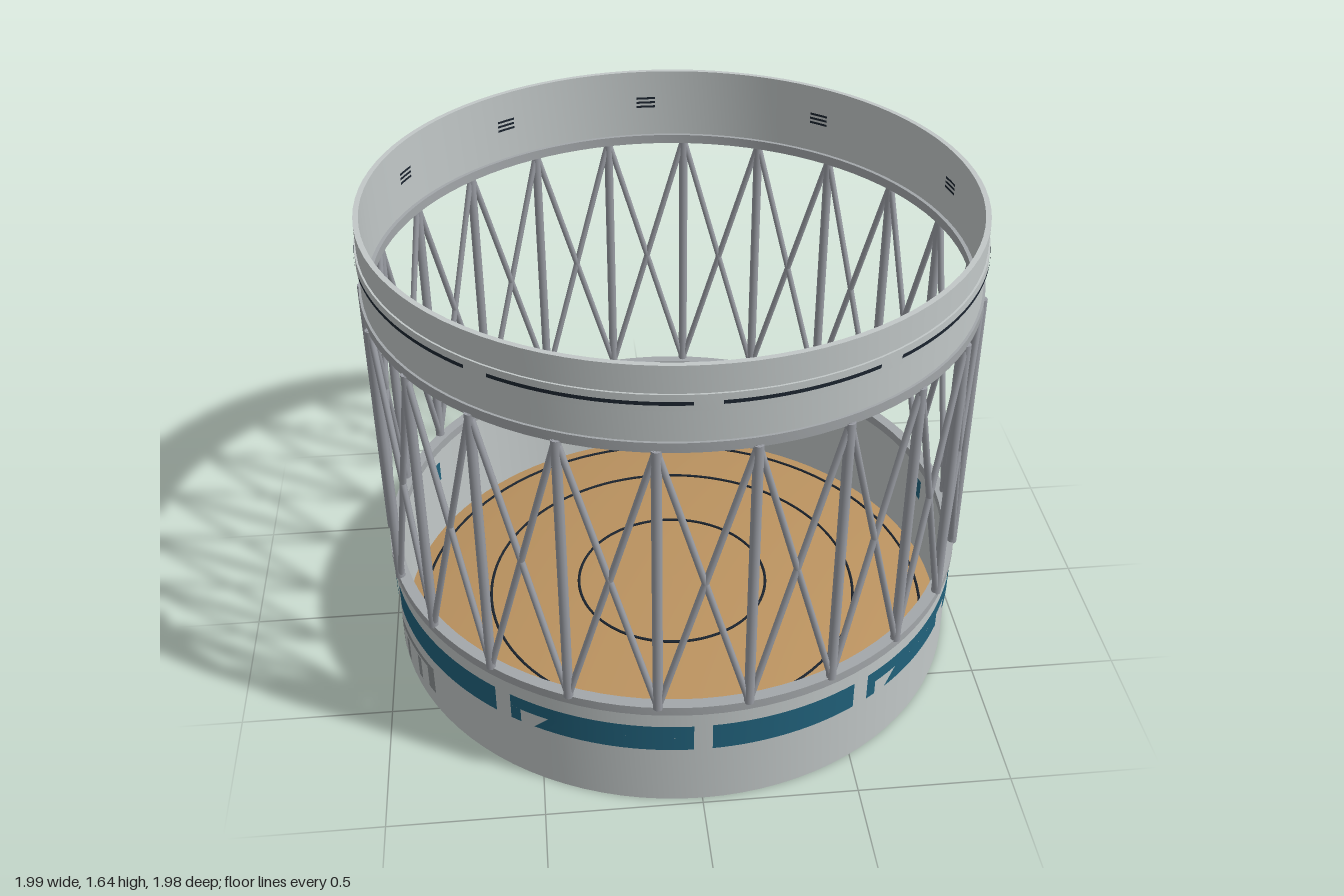
import * as THREE from 'three';
import { toCreasedNormals } from 'three/addons/utils/BufferGeometryUtils.js';

const mat = (name, color, side = THREE.FrontSide) => {
  const m = new THREE.MeshStandardMaterial({ color, side });
  m.name = name;
  return m;
};
const shell = mat('light grey shell', 0xc2c8c8);
const railGrey = mat('rail grey', 0xa3a7aa);
const strutGrey = mat('strut grey', 0x9a9da4);
const floorTan = mat('tan floor', 0xbb9360, THREE.DoubleSide);
const blue = mat('teal blue', 0x21627c, THREE.DoubleSide);
const dark = mat('dark line', 0x1c2530, THREE.DoubleSide);
const plate = mat('hatch grey', 0x8c9192, THREE.DoubleSide);

const DEG = Math.PI / 180;

export function createModel() {
  const model = new THREE.Group();
  const add = (name, geo, material) => {
    const mesh = new THREE.Mesh(geo, material);
    mesh.name = name;
    model.add(mesh);
    return mesh;
  };

  // Hoop with a rectangular section
  const hoop = (name, rIn, rOut, y0, y1, material) => {
    const pts = [[rIn, y0], [rOut, y0], [rOut, y1], [rIn, y1], [rIn, y0]];
    const geo = new THREE.LatheGeometry(pts.map(p => new THREE.Vector2(...p)), 96);
    return add(name, toCreasedNormals(geo, 0.6), material);
  };

  // Thin curved plate: angles in degrees from +z towards +x; the start edge may slant
  const patch = (name, r, a0, a1, y0, y1, material, a0Top = a0) => {
    const n = Math.max(1, Math.ceil((a1 - a0) / 2));
    const geo = new THREE.PlaneGeometry(1, 1, n, 1);
    const p = geo.attributes.position, nor = geo.attributes.normal;
    for (let i = 0; i < p.count; i++) {
      const u = p.getX(i) + 0.5, v = p.getY(i) + 0.5;
      const start = a0 + (a0Top - a0) * v;
      const t = (start + (a1 - start) * u) * DEG;
      p.setXYZ(i, r * Math.sin(t), y0 + (y1 - y0) * v, r * Math.cos(t));
      nor.setXYZ(i, Math.sin(t), 0, Math.cos(t));
    }
    return add(name, geo, material);
  };

  // Walls, flanges and raised band
  hoop('lowerWall', 0.963, 0.98, 0, 0.39, shell);
  hoop('lowerRail', 0.95, 0.988, 0.378, 0.41, railGrey);
  hoop('upperRail', 0.95, 0.988, 1.37, 1.402, railGrey);
  hoop('upperWall', 0.963, 0.98, 1.39, 1.645, shell);
  hoop('upperBand', 0.975, 0.986, 1.505, 1.557, shell);

  // Shallow domed floor with three dark circles
  const domeY = r => 0.008 + 0.08 * (1 - (r / 0.965) ** 2);
  const dome = [];
  for (let i = 0; i <= 16; i++) {
    const r = 0.965 * (1 - i / 16);
    dome.push(new THREE.Vector2(r, domeY(r)));
  }
  add('floor', new THREE.LatheGeometry(dome, 96), floorTan);
  for (const r of [0.34, 0.66, 0.905]) {
    const geo = new THREE.TorusGeometry(r, 0.005, 6, 96).rotateX(Math.PI / 2);
    add('floorCircle', geo, dark).position.y = domeY(r) + 0.003;
  }

  // Truss: 22 posts with crossed braces in every bay
  const COUNT = 22, R = 0.982, Y0 = 0.405, Y1 = 1.375;
  const at = (i, y) => {
    const t = 90 * DEG + (i / COUNT) * Math.PI * 2;
    return new THREE.Vector3(R * Math.sin(t), y, R * Math.cos(t));
  };
  const strut = (name, a, b, radius) => {
    const geo = new THREE.CylinderGeometry(radius, radius, a.distanceTo(b), 10);
    const m = add(name, geo, strutGrey);
    m.position.copy(a).lerp(b, 0.5);
    m.quaternion.setFromUnitVectors(new THREE.Vector3(0, 1, 0), b.clone().sub(a).normalize());
  };
  for (let i = 0; i < COUNT; i++) {
    strut('post', at(i, Y0), at(i, Y1), 0.016);
    strut('brace', at(i, Y0), at(i + 1, Y1), 0.0105);
    strut('brace', at(i + 1, Y0), at(i, Y1), 0.0105);
  }

  // Blue panels and the dark groove, repeated on both halves
  const gaps = [0, 32, 78.5, 101.7, 141.4, 180];
  const wedged = [32, 141.4];
  const RB = 0.984, B0 = 0.225, BM = 0.277, B1 = 0.325;
  for (const half of [0, 180]) {
    for (let i = 0; i < 5; i++) {
      const a = half + gaps[i] + 1.7, b = half + gaps[i + 1] - 1.7;
      patch('bluePanelTop', RB, a, b, BM, B1, blue);
      let from = a, slant = a;
      if (wedged.includes(gaps[i])) {
        // slanted cut near the start of the panel
        patch('bluePanelCorner', RB, a, a + 2.2, B0, BM, blue);
        from = a + 5;
        slant = a + 8;
      }
      if (gaps[i] === 32) {
        // square notch in the lower edge
        patch('bluePanelLow', RB, from, half + 59.5, B0, BM, blue, slant);
        patch('bluePanelLow', RB, half + 64.5, b, B0, BM, blue);
      } else {
        patch('bluePanelLow', RB, from, b, B0, BM, blue, slant);
      }
      patch('grooveLine', 0.989, a + 0.6, b - 0.6, 1.525, 1.537, dark);
    }
    // Small marks on the inner faces
    for (const g of [0, 32, 62, 101.7, 141.4]) {
      const c = half + g;
      patch('innerBlueMark', 0.96, c - 1.6, c + 1.6, 0.24, 0.32, blue);
      for (const y of [1.512, 1.528, 1.544])
        patch('innerDarkMark', 0.96, c - 2, c + 2, y - 0.004, y + 0.004, dark);
    }
  }

  // Framed hatch low on the right side
  patch('hatchFrame', 0.988, -76, -59, 0.08, 0.19, plate);
  patch('hatchPanel', 0.992, -74, -61, 0.09, 0.18, shell);
  patch('hatchBar', 0.995, -71, -69.5, 0.09, 0.18, plate);
  patch('hatchBar', 0.995, -65, -63.5, 0.09, 0.18, plate);

  return model;
}
